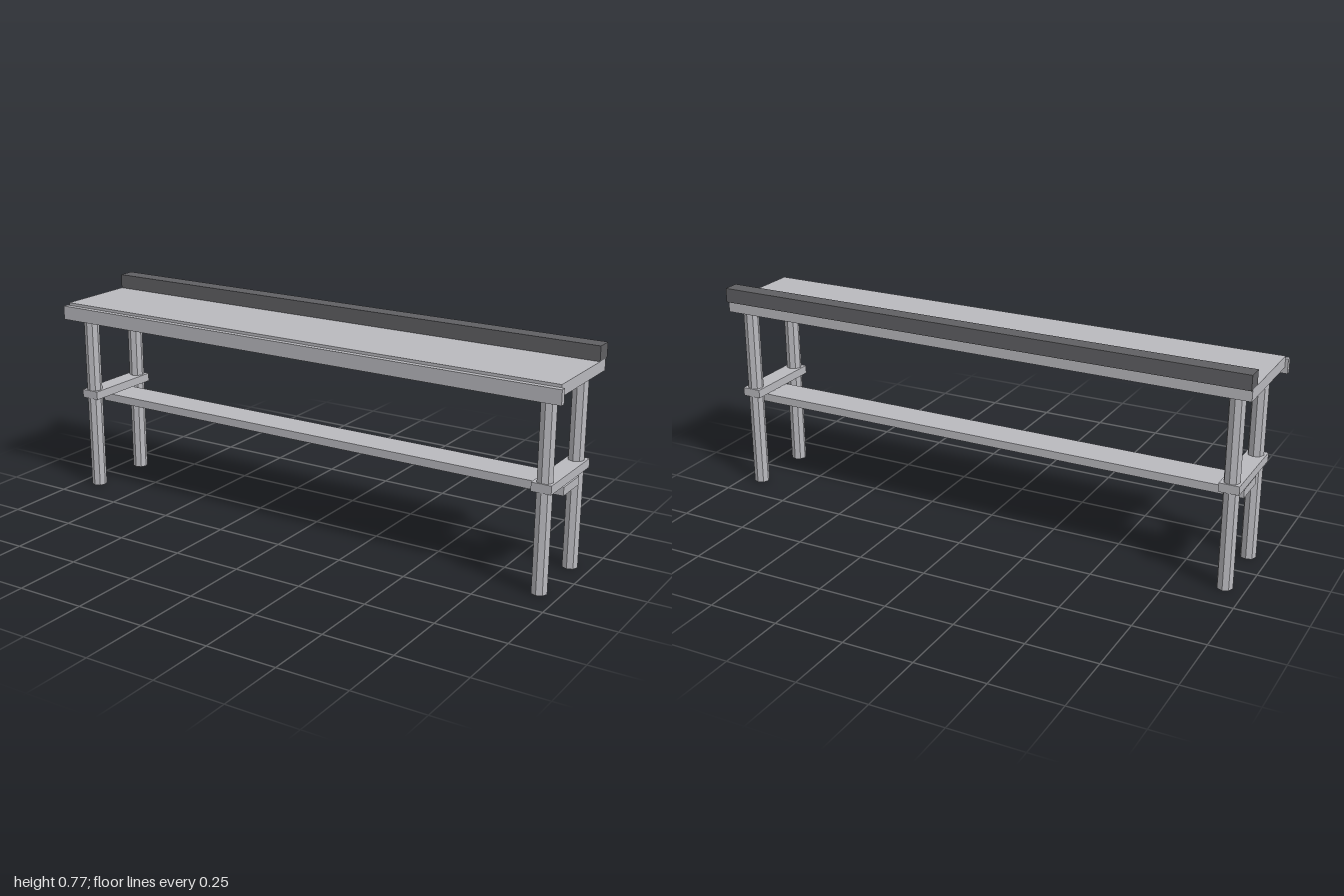
import * as THREE from 'three';

export function createModel() {
  const model = new THREE.Group();
  model.name = 'workbench';

  const steel = new THREE.MeshStandardMaterial({ color: 0xb9b9be });
  steel.name = 'light grey steel';
  const dark = new THREE.MeshStandardMaterial({ color: 0x606063 });
  dark.name = 'dark grey';

  const add = (name, geometry, material) => {
    const mesh = new THREE.Mesh(geometry, material);
    mesh.name = name;
    model.add(mesh);
    return mesh;
  };
  // Box given by its extents along each axis
  const box = (name, [x0, x1], [y0, y1], [z0, z1], material = steel) =>
    add(name, new THREE.BoxGeometry(x1 - x0, y1 - y0, z1 - z0), material)
      .position.set((x0 + x1) / 2, (y0 + y1) / 2, (z0 + z1) / 2);
  // Eight-sided bar with flat facets
  const bar = (radius, length) =>
    new THREE.CylinderGeometry(radius, radius, length, 8).toNonIndexed();
  const facet = (geometry) => { geometry.computeVertexNormals(); return geometry; };

  // Table top, front lip and rear rail
  box('tableTop', [-0.99, 0.99], [0.683, 0.723], [-0.178, 0.172]);
  box('frontLip', [-1, 1], [0.662, 0.713], [0.172, 0.192]);
  box('rearRail', [-0.99, 0.99], [0.723, 0.775], [-0.19, -0.13], dark);

  // Legs and the cross braces joining each pair
  for (const side of [1, -1]) {
    const label = side > 0 ? 'left' : 'right';
    const x = side * 0.93;
    for (const [end, z] of [['Front', 0.121], ['Back', -0.128]]) {
      add(`${label}${end}Leg`, facet(bar(0.028, 0.683)), steel).position.set(x, 0.3415, z);
    }
    box(`${label}CrossBrace`, [x - 0.035, x + 0.035], [0.352, 0.383], [-0.158, 0.15]);
  }

  // Long lower shelf under the braces
  box('lowerShelf', [-0.96, 0.96], [0.312, 0.342], [-0.087, 0.037]);

  // Horizontal rod under the top
  const rod = add('underRod', facet(bar(0.022, 1.65).rotateZ(Math.PI / 2)), steel);
  rod.position.set(0, 0.631, 0.017);

  return model;
}
